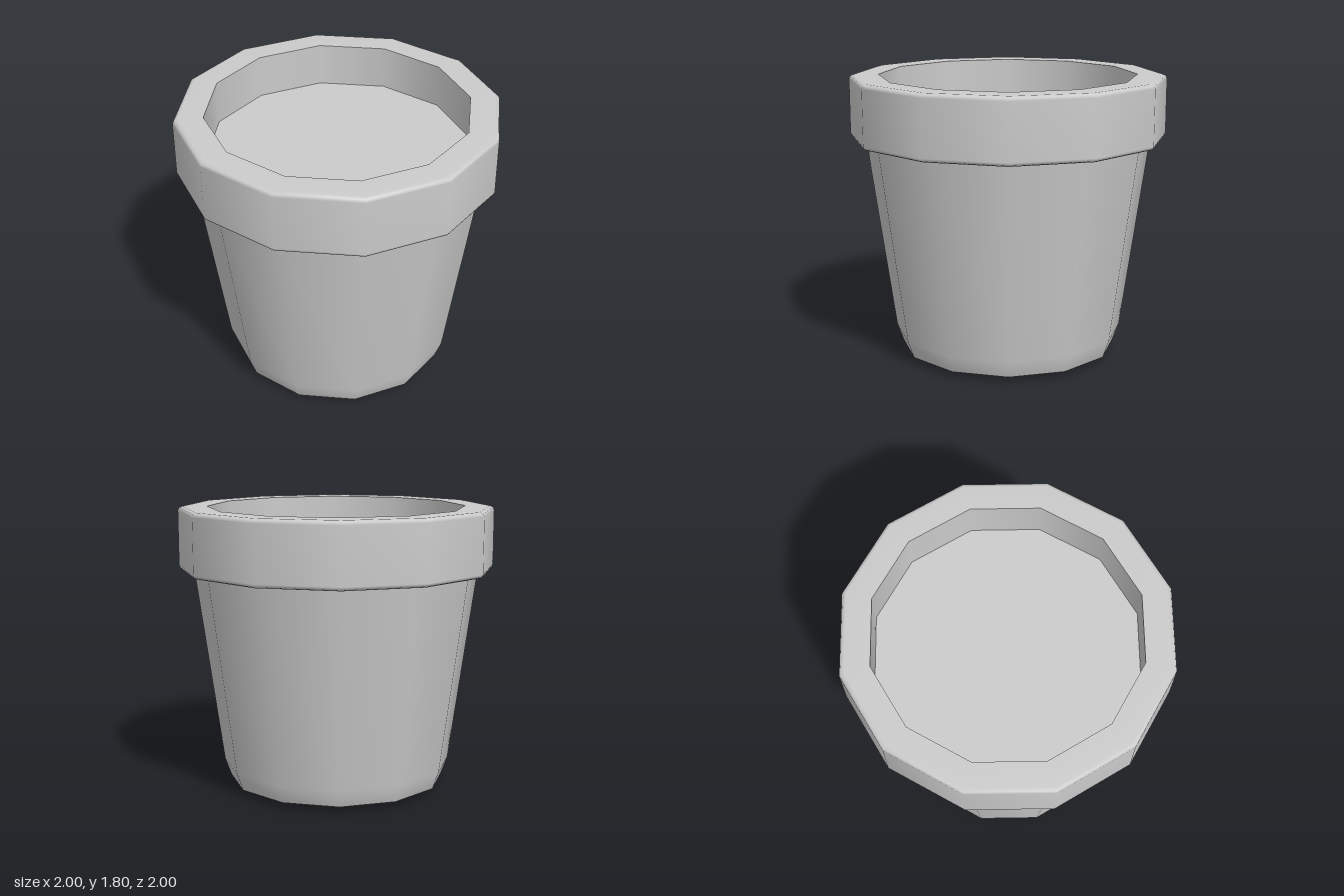
import * as THREE from 'three';

const SIDES = 12;

export function createModel() {
  const pot = new THREE.Group();
  pot.name = 'flowerPot';
  const material = new THREE.MeshStandardMaterial({ color: 0xcccccc });

  // Revolves a smooth profile of [radius, height] points; hard edges fall between parts
  const addRing = (name, profile) => {
    const points = profile.map(([r, y]) => new THREE.Vector2(r, y));
    const mesh = new THREE.Mesh(new THREE.LatheGeometry(points, SIDES), material);
    mesh.name = name;
    pot.add(mesh);
  };

  // Underside with a shallow chamfer
  addRing('base', [[0, 0], [0.58, 0], [0.69, 0.04]]);

  // Tapered wall, tucked in at the foot
  addRing('wall', [[0.69, 0.04], [0.73, 0.15], [0.905, 1.4]]);

  // Thick collar with small rounded edges
  addRing('rim', [
    [0.9, 1.4], [0.975, 1.4], [0.993, 1.408], [1, 1.425],
    [1, 1.77], [0.992, 1.788], [0.97, 1.797], [0.815, 1.797],
  ]);

  // Inside of the collar and the soil surface
  addRing('innerWall', [[0.815, 1.797], [0.815, 1.52]]);
  addRing('soil', [[0.815, 1.52], [0, 1.52]]);

  return pot;
}
